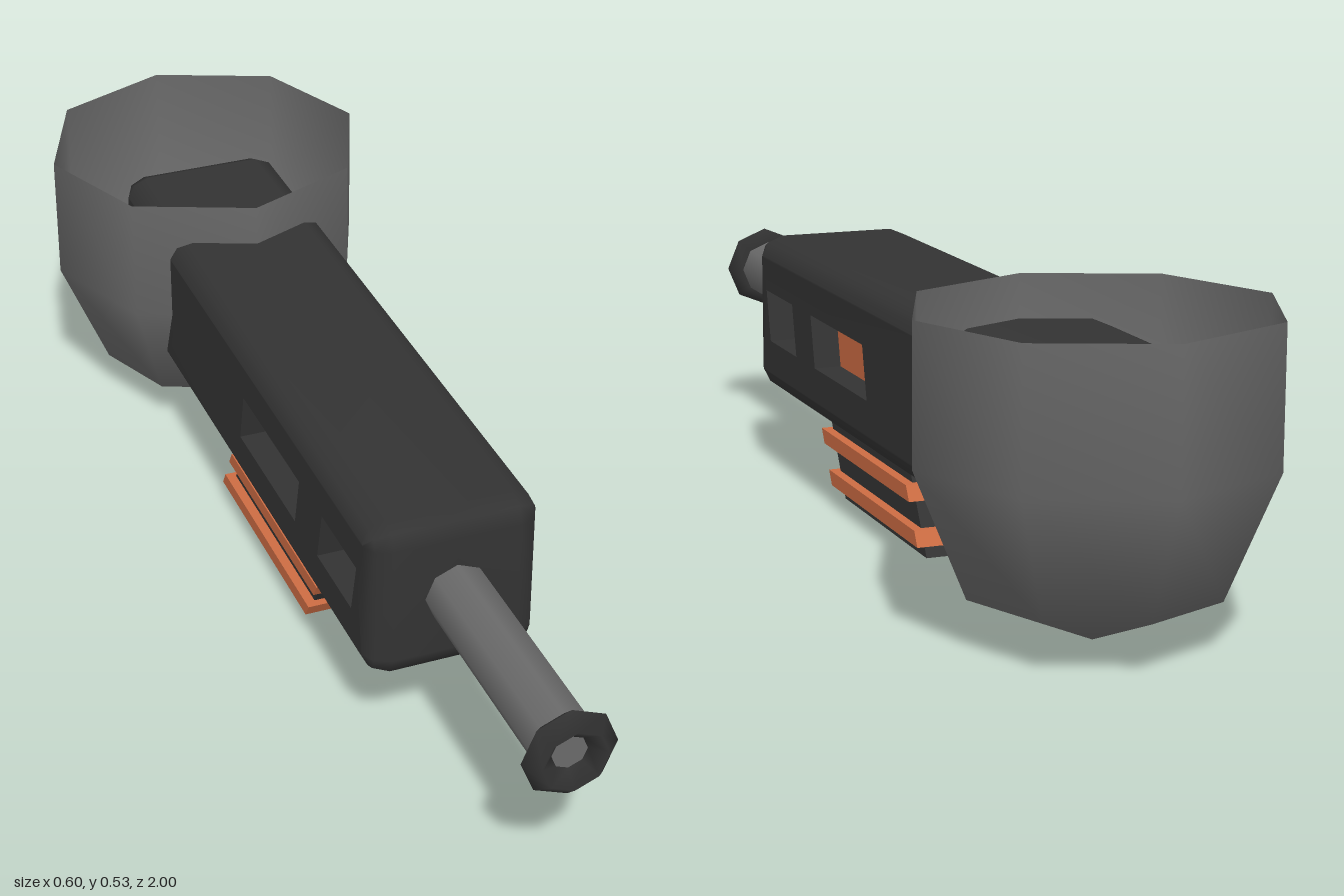
import * as THREE from 'three';
import { mergeVertices } from 'three/addons/utils/BufferGeometryUtils.js';

const V2 = (u, v) => new THREE.Vector2(u, v);

// Rounded rectangle of the body's side (u = -z, v = y), shrunk by an inset
function bodyOutline(inset) {
  const r = 0.04, arc = r - inset, pts = [];
  const corners = [[0.76 - r, 0.16 + r, -90], [0.76 - r, 0.455 - r, 0], [-0.55 + r, 0.455 - r, 90], [-0.55 + r, 0.16 + r, 180]];
  for (const [u, v, start] of corners) {
    for (let k = 0; k < 3; k++) {
      const a = THREE.MathUtils.degToRad(start + k * 45);
      pts.push(V2(u + arc * Math.cos(a), v + arc * Math.sin(a)));
    }
  }
  return pts;
}

// Slanted window slots, clockwise: top front z, top back z
const slots = [[0.488, 0.332], [0.225, -0.056]].map(([front, back]) => [
  V2(-front, 0.355), V2(-back, 0.355), V2(-back + 0.022, 0.26), V2(-front + 0.022, 0.26),
]);

// Collects triangles for one side of the model (s = 1 left, -1 right)
function sideBuilder(s) {
  const data = [];
  const tri = (a, b, c) => {
    for (const [p, x] of s > 0 ? [a, b, c] : [a, c, b]) data.push(s * x, p.y, -p.x);
  };
  return {
    strip(p, x0, q, x1) {
      p.forEach((_, i) => {
        const j = (i + 1) % p.length;
        tri([p[i], x0], [p[j], x0], [q[j], x1]);
        tri([p[i], x0], [q[j], x1], [q[i], x1]);
      });
    },
    cap(outline, holes, x) {
      const all = [outline, ...holes].flat();
      for (const f of THREE.ShapeUtils.triangulateShape(outline, holes)) tri(...f.map((i) => [all[i], x]));
    },
    build() {
      const raw = new THREE.BufferGeometry();
      raw.setAttribute('position', new THREE.Float32BufferAttribute(data, 3));
      const g = mergeVertices(raw, 1e-4);
      g.computeVertexNormals();
      return g;
    },
  };
}

// Box whose lower end leans backwards
const LEAN = 0.58;
function leaningBox(width, y0, y1, zFront, zBack) {
  const g = new THREE.BoxGeometry(width, y1 - y0, zFront - zBack);
  g.applyMatrix4(new THREE.Matrix4().set(1, 0, 0, 0, 0, 1, 0, 0, 0, LEAN, 1, 0, 0, 0, 0, 1));
  return g.translate(0, (y0 + y1) / 2, (zFront + zBack) / 2);
}

export function createModel() {
  const model = new THREE.Group();
  const material = (name, color, side = THREE.FrontSide) => {
    const m = new THREE.MeshStandardMaterial({ color, side });
    m.name = name;
    return m;
  };
  const dark = material('charcoal', 0x333333);
  const grey = material('steel grey', 0x6a6a6a, THREE.DoubleSide);
  const orange = material('burnt orange', 0xcc6c43);
  const add = (name, geometry, mat) => {
    const mesh = new THREE.Mesh(geometry, mat);
    mesh.name = name;
    model.add(mesh);
    return mesh;
  };

  // Soft-edged body in two halves, with recessed windows
  const rings = [[0, 0], [0.11, 0], [0.138, 0.012], [0.15, 0.036]];
  for (const s of [1, -1]) {
    const label = s > 0 ? 'left' : 'right';
    const shell = sideBuilder(s);
    for (let i = 1; i < rings.length; i++) {
      shell.strip(bodyOutline(rings[i - 1][1]), rings[i - 1][0], bodyOutline(rings[i][1]), rings[i][0]);
    }
    shell.cap(bodyOutline(0.036), slots, 0.15);
    add(label + 'Body', shell.build(), dark);
    slots.forEach((slot, i) => {
      const walls = sideBuilder(s);
      walls.strip(slot, 0.1, slot, 0.15);
      add(label + 'WindowFrame' + (i + 1), walls.build().toNonIndexed(), dark).geometry.computeVertexNormals();
      const pane = sideBuilder(s);
      pane.cap([...slot].reverse(), [], 0.1);
      add(label + 'Window' + (i + 1), pane.build(), orange);
    });
  }

  // Barrel and muzzle ring
  const barrel = new THREE.CylinderGeometry(0.055, 0.055, 0.45, 8).rotateX(Math.PI / 2);
  add('barrel', barrel, grey).position.set(0, 0.31, 0.745);
  add('muzzleRing', new THREE.TorusGeometry(0.055, 0.025, 4, 8), dark).position.set(0, 0.31, 0.975);

  // Leaning lower block with two bands
  add('lowerBlock', leaningBox(0.216, 0.022, 0.18, 0.203, -0.213), dark);
  add('upperBand', leaningBox(0.25, 0.112, 0.138, 0.232, -0.212), orange);
  add('lowerBand', leaningBox(0.25, 0.042, 0.068, 0.192, -0.252), orange);

  // Open eight-sided cup at the back
  const profile = [V2(0, 0), V2(0.212, 0.088), V2(0.3, 0.3), V2(0.3, 0.53)];
  add('cup', new THREE.LatheGeometry(profile, 8), grey).position.z = -0.7;

  return model;
}
